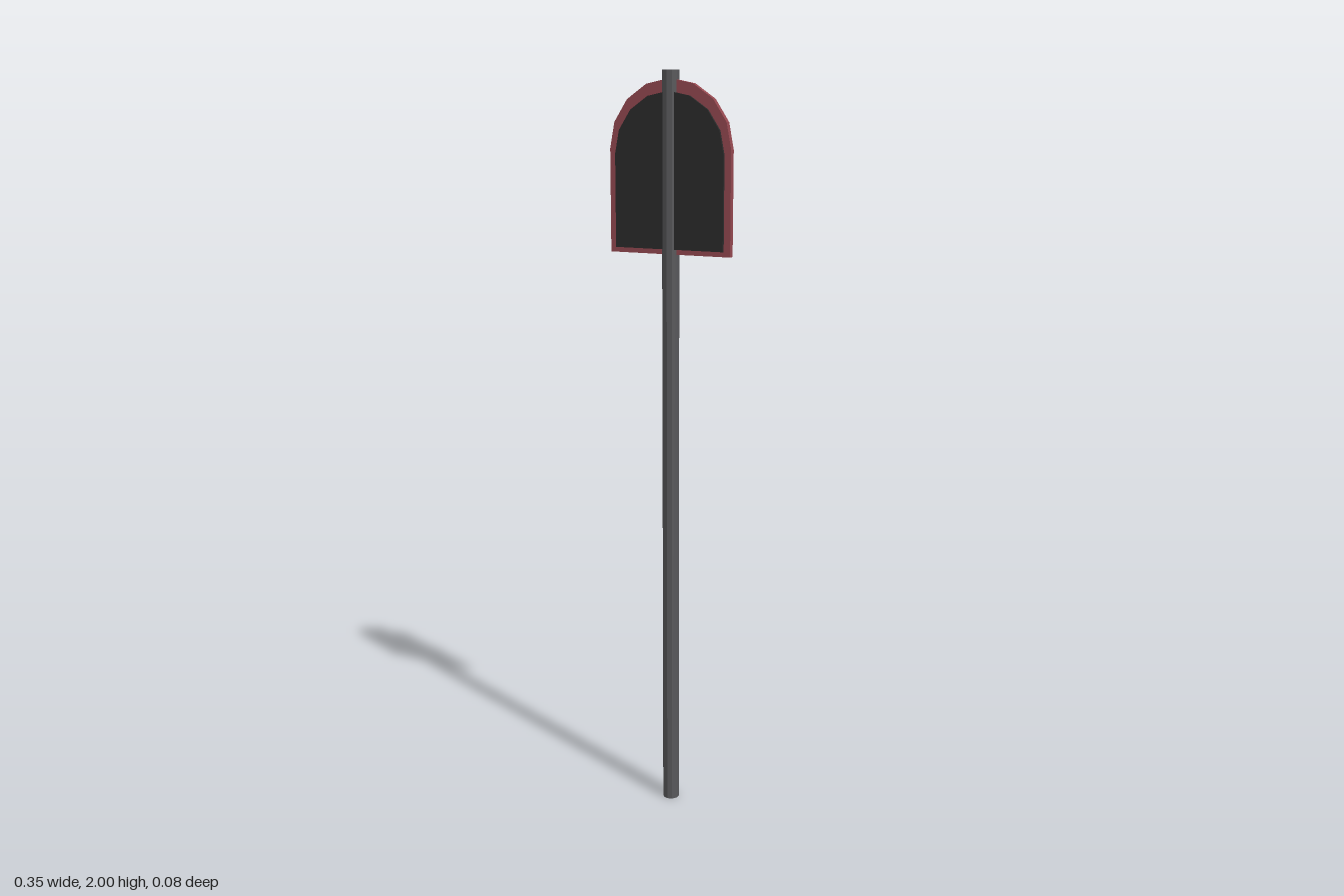
import * as THREE from 'three';

const AXIS_Z = 0.015; // shared depth of pole and sign

function material(color) {
  return new THREE.MeshStandardMaterial({ color, flatShading: true });
}

function add(group, name, geometry, mat, x, y, z) {
  const mesh = new THREE.Mesh(geometry, mat);
  mesh.name = name;
  mesh.position.set(x, y, z);
  group.add(mesh);
  return mesh;
}

// Arched slab: straight sides below an eight-segment semicircle, centred in depth
function archSlab(halfWidth, straight, depth) {
  const shape = new THREE.Shape();
  shape.moveTo(-halfWidth, 0);
  shape.lineTo(halfWidth, 0);
  shape.lineTo(halfWidth, straight);
  shape.absarc(0, straight, halfWidth, 0, Math.PI, false);
  shape.closePath();
  const geometry = new THREE.ExtrudeGeometry(shape, { depth, bevelEnabled: false, curveSegments: 4 });
  return geometry.translate(0, 0, -depth / 2);
}

export function createModel() {
  const model = new THREE.Group();
  model.name = 'signPost';
  const metal = material(0x57575a);

  // Full-height pole
  add(model, 'pole', new THREE.CylinderGeometry(0.0225, 0.0225, 2, 10), metal, 0, 1, AXIS_Z);

  // Red border slab, with a thicker dark panel showing on both faces
  add(model, 'signBorder', archSlab(0.173, 0.265, 0.015), material(0x944850), 0, 1.542, AXIS_Z);
  add(model, 'signPanel', archSlab(0.155, 0.239, 0.027), material(0x2b2b2b), 0, 1.555, AXIS_Z);

  // Mounting block on the back
  add(model, 'mountingBlock', new THREE.BoxGeometry(0.062, 0.305, 0.05), metal, 0, 1.735, -0.013);

  return model;
}
